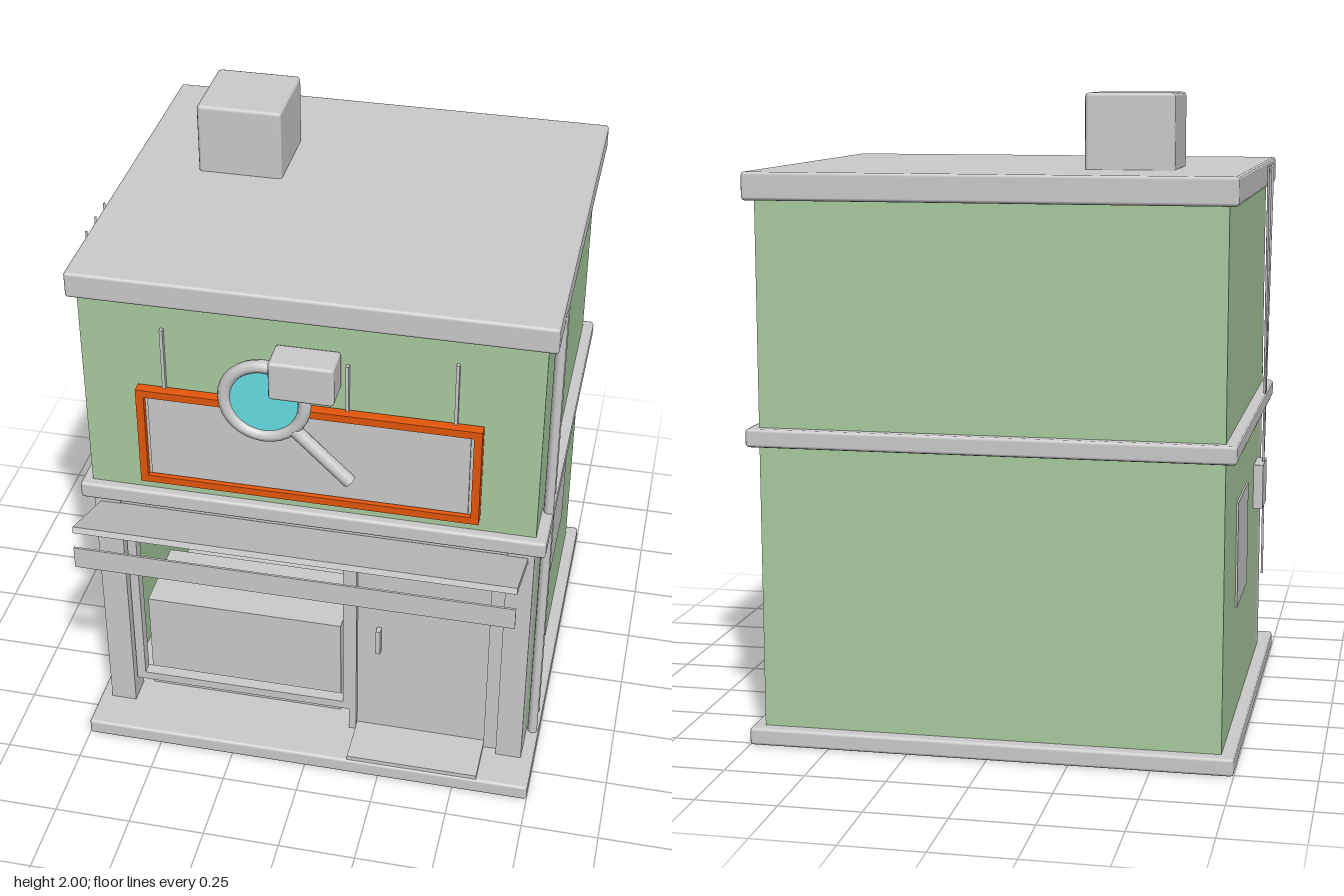
import * as THREE from 'three';
import { RoundedBoxGeometry } from 'three/addons/geometries/RoundedBoxGeometry.js';

export function createModel() {
  const shop = new THREE.Group();
  shop.name = 'cornerShop';
  const mat = (name, color, side = THREE.FrontSide) => {
    const m = new THREE.MeshStandardMaterial({ color, side });
    m.name = name;
    return m;
  };
  const grey = mat('plainGrey', 0xcccccc);
  const green = mat('wallGreen', 0xaacca0);
  const orange = mat('signOrange', 0xea580c);
  const cyan = mat('lensCyan', 0x66e0e6);

  const add = (name, geometry, material) => {
    const mesh = new THREE.Mesh(geometry, material);
    mesh.name = name;
    shop.add(mesh);
    return mesh;
  };
  // Box given by its limits on each axis; bevel > 0 chamfers the edges
  const box = (name, material, [x0, x1], [y0, y1], [z0, z1], bevel = 0) => {
    const size = [x1 - x0, y1 - y0, z1 - z0];
    const geo = bevel ? new RoundedBoxGeometry(...size, 1, bevel) : new THREE.BoxGeometry(...size);
    const mesh = add(name, geo, material);
    mesh.position.set((x0 + x1) / 2, (y0 + y1) / 2, (z0 + z1) / 2);
    return mesh;
  };
  // Straight round bar between two points
  const bar = (name, material, a, b, radius, sides = 8) => {
    const p = new THREE.Vector3(...a), q = new THREE.Vector3(...b);
    const d = q.clone().sub(p);
    const mesh = add(name, new THREE.CylinderGeometry(radius, radius, d.length(), sides), material);
    mesh.position.copy(p).add(q).multiplyScalar(0.5);
    mesh.quaternion.setFromUnitVectors(new THREE.Vector3(0, 1, 0), d.normalize());
    return mesh;
  };
  // Rectangular frame extruded along z
  const frame = (name, material, [x0, x1], [y0, y1], [z0, z1], t) => {
    const rect = (path, d) => path.moveTo(x0 + d, y0 + d).lineTo(x1 - d, y0 + d)
      .lineTo(x1 - d, y1 - d).lineTo(x0 + d, y1 - d).closePath();
    const shape = new THREE.Shape();
    rect(shape, 0);
    const hole = new THREE.Path();
    rect(hole, t);
    shape.holes.push(hole);
    const geo = new THREE.ExtrudeGeometry(shape, { depth: z1 - z0, bevelEnabled: false });
    return add(name, geo, material).position.setZ(z0);
  };

  // Slabs, storeys and roof
  box('baseSlab', grey, [-0.75, 0.75], [0, 0.055], [-0.77, 0.635], 0.01);
  box('upperStorey', green, [-0.71, 0.71], [0.97, 1.72], [-0.73, 0.5]);
  box('middleBand', grey, [-0.745, 0.745], [0.938, 0.995], [-0.765, 0.53], 0.01);
  box('roofSlab', grey, [-0.74, 0.74], [1.685, 1.77], [-0.77, 0.525], 0.01);
  box('chimney', grey, [-0.515, -0.24], [1.76, 2], [-0.45, -0.17], 0.012);

  // Hollow ground floor, open to the front
  box('backWall', green, [-0.71, 0.71], [0.05, 0.95], [-0.73, -0.69]);
  box('roomBackPanel', grey, [-0.67, 0.67], [0.055, 0.94], [-0.69, -0.68]);
  for (const s of [-1, 1]) {
    const span = (a, b) => (s > 0 ? [a, b] : [-b, -a]);
    box('sideWall', green, span(0.67, 0.71), [0.05, 0.95], [-0.73, 0.41]);
    box('cornerPillar', grey, span(0.625, 0.71), [0.05, 0.945], [0.41, 0.5]);
    box('sideWindow', grey, span(0.708, 0.716), [0.41, 0.745], [-0.375, -0.045]);
  }
  box('shopfrontHeader', grey, [-0.63, 0.63], [0.83, 0.945], [0.42, 0.49]);

  // Shop window and display counter
  frame('shopWindowFrame', grey, [-0.62, 0.13], [0.14, 0.83], [0.44, 0.48], 0.03);
  box('displayCounter', grey, [-0.59, 0.075], [0.055, 0.43], [0.13, 0.4]);

  // Door
  box('doorPost', grey, [0.12, 0.145], [0.055, 0.84], [0.42, 0.48]);
  box('door', grey, [0.145, 0.58], [0.06, 0.825], [0.43, 0.46]);
  box('doorJamb', grey, [0.58, 0.63], [0.055, 0.84], [0.42, 0.475]);
  box('doorHandle', grey, [0.21, 0.225], [0.41, 0.505], [0.46, 0.485]);
  box('doorstep', grey, [0.145, 0.58], [0.055, 0.07], [0.46, 0.63]);

  // Sloping canopy with a hanging valance
  const canopy = box('canopy', grey, [-0.69, 0.69], [0.937, 0.957], [0.487, 0.773]);
  canopy.position.set(0, 0.947, 0.632);
  canopy.rotation.x = -Math.atan2(0.1, 0.27);
  box('canopyValance', grey, [-0.69, 0.69], [0.855, 0.93], [0.765, 0.772]);

  // Sign with its hangers
  frame('signFrame', orange, [-0.535, 0.535], [1.045, 1.39], [0.505, 0.54], 0.025);
  box('signBoard', grey, [-0.515, 0.515], [1.06, 1.375], [0.5, 0.522]);
  box('signPanel', grey, [-0.5, 0.5], [1.075, 1.36], [0.52, 0.53]);
  for (const [x, top] of [[-0.45, 1.6], [0.12, 1.55], [0.45, 1.6]]) {
    box('signHanger', grey, [x - 0.005, x + 0.005], [1.38, top], [0.5, 0.515]);
  }

  // Magnifying glass on its mounting block
  const ring = add('magnifierRing', new THREE.TorusGeometry(0.124, 0.021, 8, 32), grey);
  ring.position.set(-0.12, 1.435, 0.575);
  const lens = add('magnifierLens', new THREE.CylinderGeometry(0.112, 0.112, 0.01, 32), cyan);
  lens.rotation.x = Math.PI / 2;
  lens.position.copy(ring.position);
  bar('magnifierHandle', grey, [-0.03, 1.345, 0.575], [0.142, 1.175, 0.575], 0.022);
  box('mountingBlock', grey, [-0.1, 0.1], [1.465, 1.595], [0.5, 0.61], 0.01);

  // Drainpipes on the left wall
  bar('drainpipe', grey, [0.73, 0.05, 0.36], [0.73, 1.72, 0.36], 0.016);
  bar('thinDrainpipe', grey, [0.73, 0.05, 0.265], [0.73, 1.69, 0.265], 0.011);

  // Meter box and its cables on the right wall
  box('meterBox', grey, [-0.742, -0.708], [0.6, 0.75], [0.21, 0.35]);
  for (const z of [0.08, 0.17, 0.26]) {
    bar('cable', grey, [-0.752, 1.76, z], [-0.736, 0.74, 0.28], 0.004, 6);
  }
  bar('groundCable', grey, [-0.738, 0.61, 0.28], [-0.738, 0.36, 0.28], 0.004, 6);

  return shop;
}
